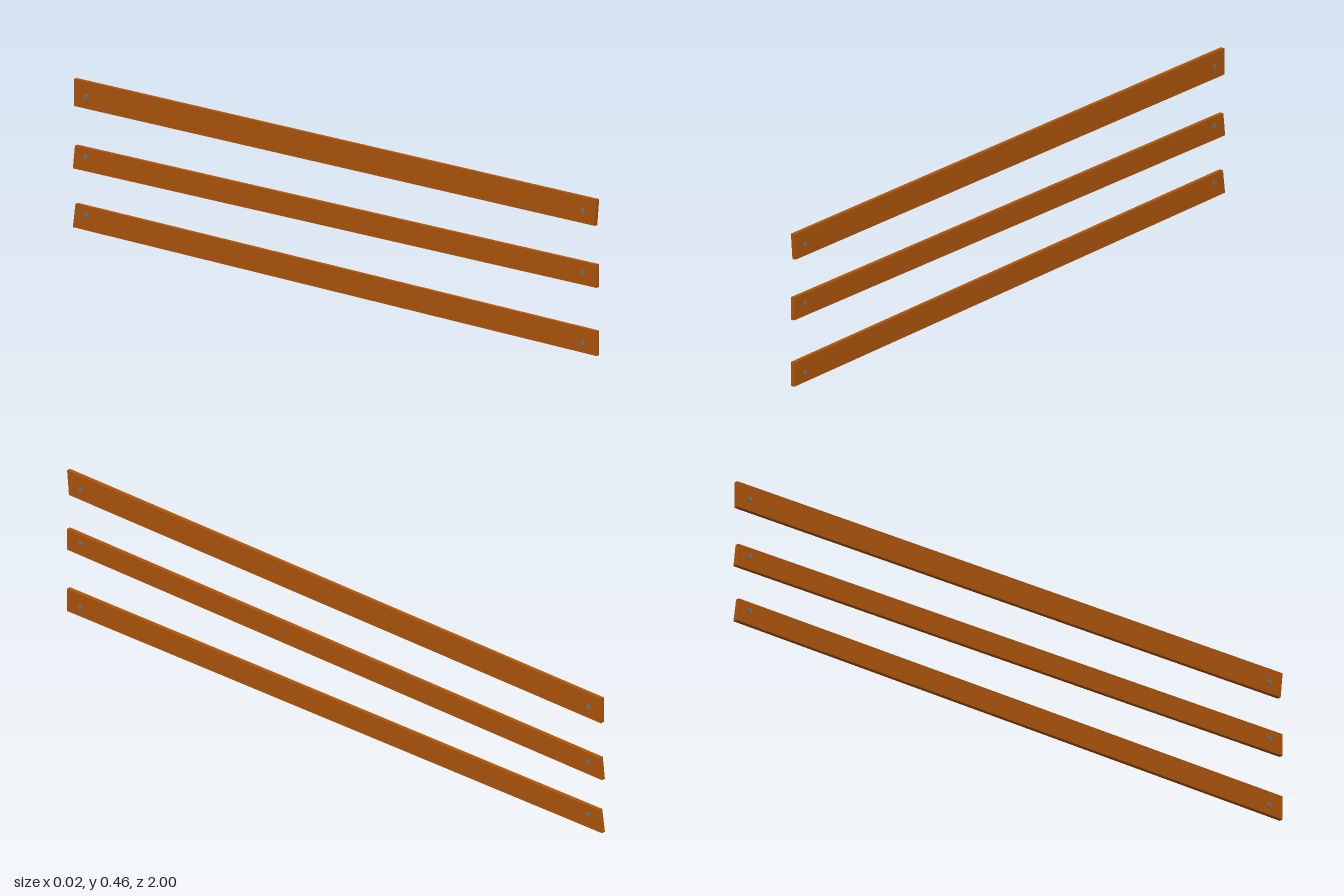
import * as THREE from 'three';

const THICKNESS = 0.012;
const wood = new THREE.MeshStandardMaterial({ color: 0xb0560c });
const steel = new THREE.MeshStandardMaterial({ color: 0x70757a });

// Each rail: corners as [z, y] (front bottom, back bottom, back top, front top)
// and the heights of its front and back bolts.
const RAILS = [
  { name: 'topRail', corners: [[0.993, 0.377], [-0.996, 0.376], [-0.996, 0.455], [1, 0.454]], bolts: [0.412, 0.412] },
  { name: 'middleRail', corners: [[1, 0.198], [-1, 0.194], [-0.992, 0.262], [1, 0.265]], bolts: [0.236, 0.235] },
  { name: 'bottomRail', corners: [[1, 0], [-1, 0.023], [-0.99, 0.093], [1, 0.072]], bolts: [0.03, 0.066] },
];

// Plank cut to its four corners, extruded across x
function makePlank(corners) {
  const shape = new THREE.Shape(corners.map(([z, y]) => new THREE.Vector2(-z, y)));
  const geometry = new THREE.ExtrudeGeometry(shape, { depth: THICKNESS, bevelEnabled: false });
  geometry.translate(0, 0, -THICKNESS / 2).rotateY(Math.PI / 2);
  const plank = new THREE.Mesh(geometry, wood);
  plank.name = 'plank';
  return plank;
}

// Bolt through the plank, its ends standing proud on both faces
function makeBolt(y, z) {
  const geometry = new THREE.CylinderGeometry(0.0075, 0.0075, 0.017, 16).rotateZ(Math.PI / 2);
  const bolt = new THREE.Mesh(geometry, steel);
  bolt.name = 'bolt';
  bolt.position.set(0, y, z);
  return bolt;
}

export function createModel() {
  const model = new THREE.Group();
  model.name = 'fenceRails';
  for (const { name, corners, bolts } of RAILS) {
    const rail = new THREE.Group();
    rail.name = name;
    rail.add(makePlank(corners), makeBolt(bolts[0], 0.95), makeBolt(bolts[1], -0.95));
    model.add(rail);
  }
  return model;
}
